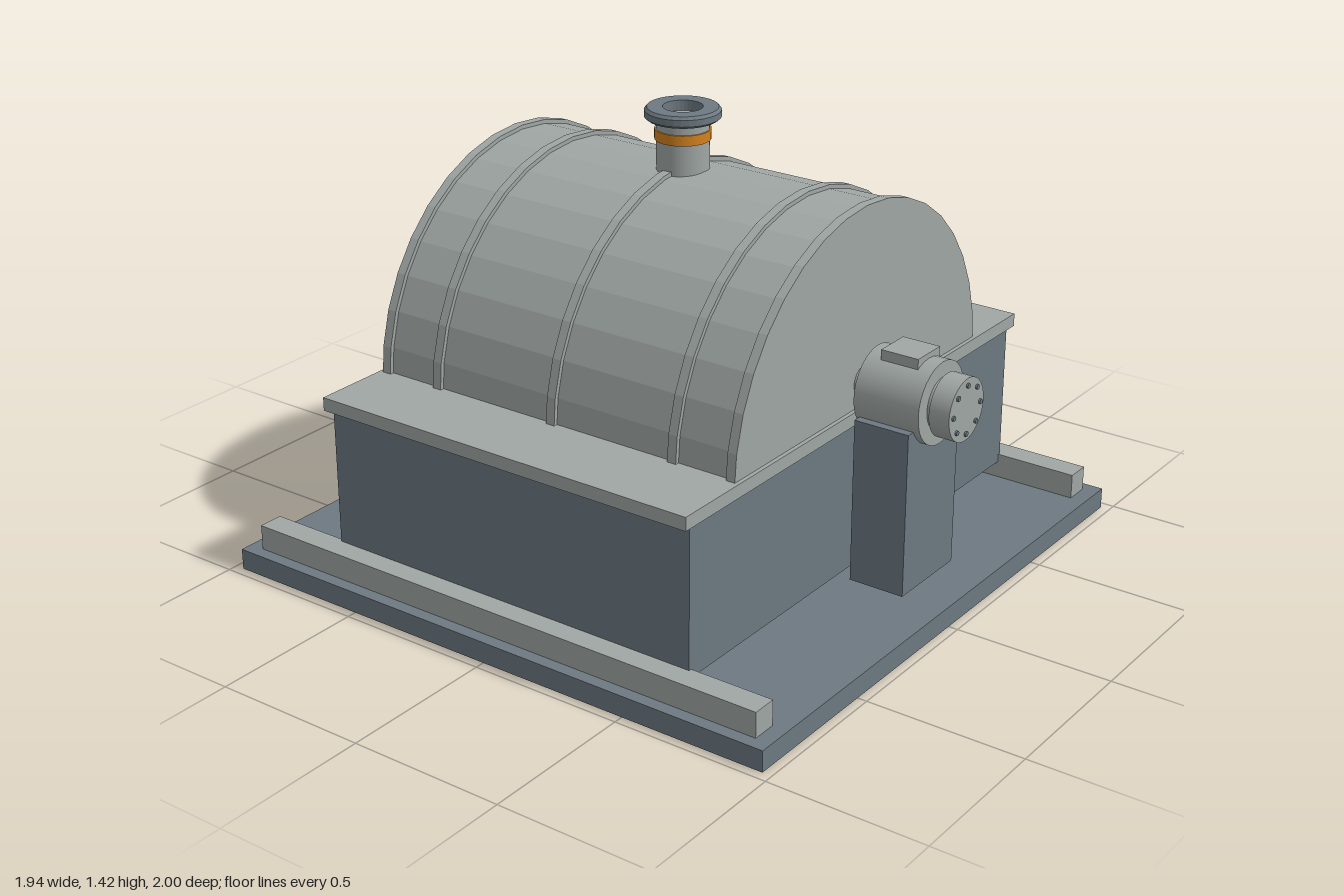
import * as THREE from 'three';

const mat = (name, color) => {
  const m = new THREE.MeshStandardMaterial({ color });
  m.name = name;
  return m;
};

export function createModel() {
  const model = new THREE.Group();
  model.name = 'drumMachine';
  const light = mat('lightGrey', 0xa0a7a4);
  const slate = mat('slateGrey', 0x6d7981);
  const orange = mat('orange', 0xd4821e);

  const add = (parent, name, geo, material, x = 0, y = 0, z = 0) => {
    const m = new THREE.Mesh(geo, material);
    m.name = name;
    m.position.set(x, y, z);
    parent.add(m);
    return m;
  };
  // Box given by its width, bottom, top and z range
  const box = (parent, name, material, x, w, y0, y1, z0, z1) =>
    add(parent, name, new THREE.BoxGeometry(w, y1 - y0, z1 - z0), material, x, (y0 + y1) / 2, (z0 + z1) / 2);
  // Cylinder along z
  const rod = (parent, name, material, r, z0, z1, x = 0, y = 0, seg = 32) =>
    add(parent, name, new THREE.CylinderGeometry(r, r, z1 - z0, seg).rotateX(Math.PI / 2), material, x, y, (z0 + z1) / 2);
  // Faceted half disc extruded along z
  const halfDrum = (name, r, z0, z1) => {
    const s = new THREE.Shape();
    const n = 18;
    for (let i = 0; i <= n; i++) {
      const a = (i / n) * Math.PI;
      s[i ? 'lineTo' : 'moveTo'](r * Math.cos(a), r * Math.sin(a));
    }
    s.closePath();
    add(model, name, new THREE.ExtrudeGeometry(s, { depth: z1 - z0, bevelEnabled: false }), light, 0, 0.6, z0);
  };

  // Base, side rails, tank and rim
  box(model, 'basePlate', slate, 0, 1.94, 0, 0.067, -0.97, 0.97);
  for (const s of [1, -1]) box(model, 'sideRail', light, s * 0.89, 0.08, 0.067, 0.147, -0.92, 0.92);
  box(model, 'tank', slate, 0, 1.72, 0.12, 0.59, -0.65, 0.65);
  box(model, 'tankRim', light, 0, 1.78, 0.588, 0.63, -0.66, 0.66);

  // Drum cover and its hoops
  halfDrum('drumCover', 0.635, -0.64, 0.64);
  for (const z of [-0.632, -0.432, 0, 0.432, 0.632]) halfDrum('drumHoop', 0.648, z - 0.015, z + 0.015);

  // Top nozzle with band and open flange
  const nozzle = new THREE.Group();
  nozzle.name = 'nozzle';
  model.add(nozzle);
  add(nozzle, 'nozzlePipe', new THREE.CylinderGeometry(0.08, 0.08, 0.2, 32), light, 0, 1.29, 0);
  add(nozzle, 'nozzleBand', new THREE.CylinderGeometry(0.085, 0.085, 0.032, 32), orange, 0, 1.34, 0);
  const profile = [[0.06, 1.385], [0.105, 1.385], [0.115, 1.393], [0.115, 1.413], [0.107, 1.422], [0.06, 1.422], [0.06, 1.385]];
  const flange = new THREE.LatheGeometry(profile.map(([r, y]) => new THREE.Vector2(r, y)), 32).toNonIndexed();
  flange.computeVertexNormals();
  add(nozzle, 'nozzleFlange', flange, slate);

  // Drive units at both ends, each on its own post
  for (const turn of [0, Math.PI]) {
    const drive = new THREE.Group();
    drive.name = turn ? 'rearDrive' : 'frontDrive';
    drive.rotation.y = turn;
    model.add(drive);
    box(drive, 'drivePost', slate, 0, 0.28, 0.135, 0.65, 0.71, 0.89);
    box(drive, 'terminalBox', light, 0, 0.12, 0.78, 0.85, 0.743, 0.866);

    const motor = new THREE.Group();
    motor.name = 'motor';
    motor.position.y = 0.707;
    drive.add(motor);
    rod(motor, 'shaft', light, 0.046, 0.62, 0.71);
    rod(motor, 'housing', light, 0.127, 0.697, 0.912);
    rod(motor, 'neck', light, 0.08, 0.91, 0.935);
    rod(motor, 'endFlange', light, 0.097, 0.928, 0.994);
    for (let i = 0; i < 8; i++) {
      const a = (i / 8) * Math.PI * 2;
      rod(motor, 'flangeBolt', slate, 0.008, 0.99, 1, 0.075 * Math.cos(a), 0.075 * Math.sin(a), 8);
    }
  }
  return model;
}
